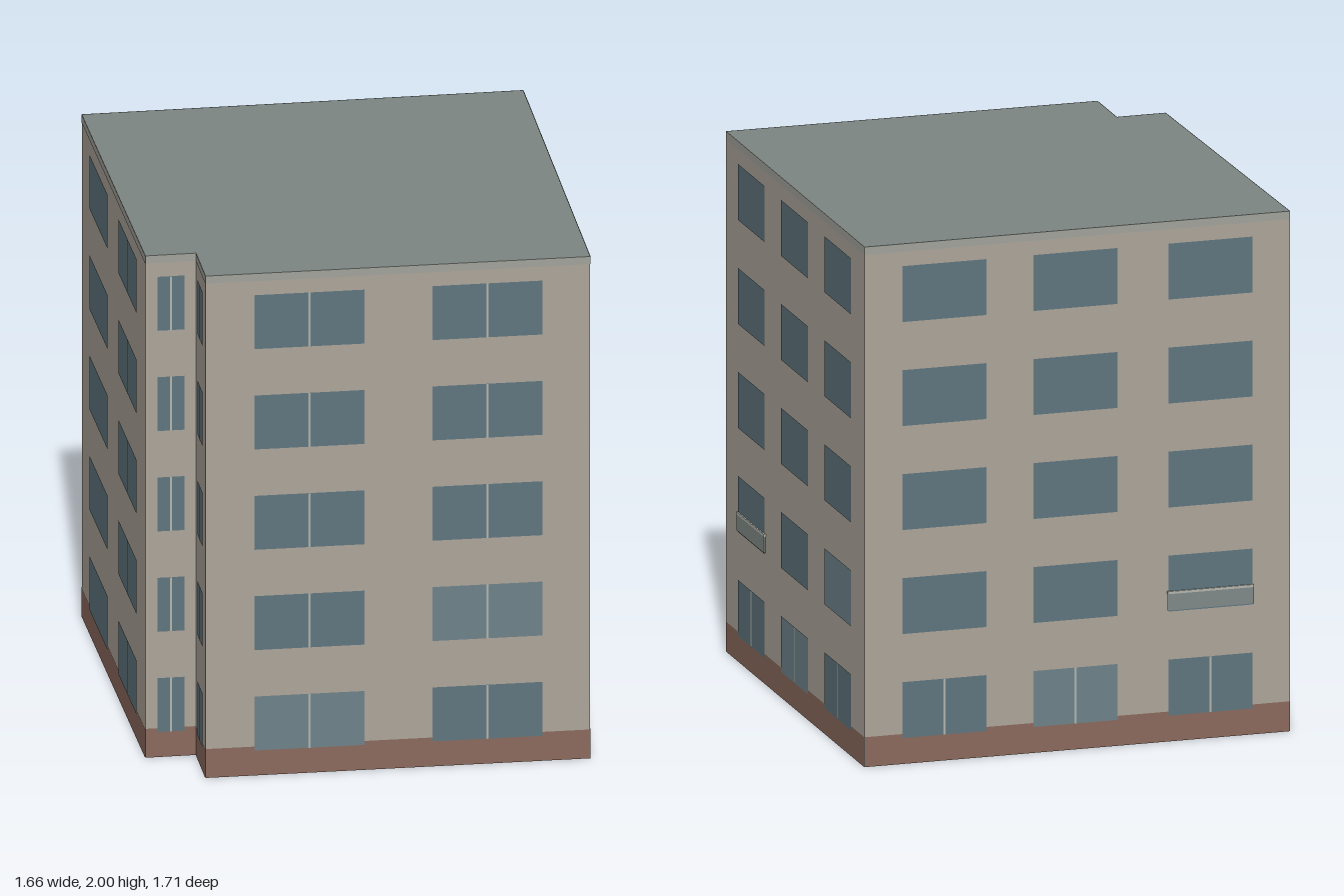
import * as THREE from 'three';

const material = (color) => new THREE.MeshStandardMaterial({ color, side: THREE.DoubleSide });

export function createModel() {
  const building = new THREE.Group();
  building.name = 'apartmentBlock';

  const wallMat = material(0xada59b);
  const roofMat = material(0x7c8682);
  const corniceMat = material(0xa1a39b);
  const plinthMat = material(0x8b6a5d);
  const glassMats = [material(0x5f757e), material(0x6e828a)];
  const frameMat = material(0xb4b6ae);
  const railMat = material(0x7f8a87);

  // Footprint corners (x, z), walked so that the outside is always on the same hand
  const corners = [
    [-0.62, 0.835], [0.82, 0.852], [0.825, -0.845],
    [-0.83, -0.848], [-0.81, 0.60], [-0.62, 0.60],
  ];

  // One entry per wall: window centres along the wall, window width,
  // whether every floor has a mullion, lighter panes as [floor, column], balcony column
  const facades = [
    { name: 'frontWall', at: [0.388, 1.055], width: 0.412, split: true, light: [[0, 0], [1, 1]] },
    { name: 'rightWall', at: [0.318, 0.848, 1.377], width: 0.328, light: [[0, 1], [1, 2]], balcony: 0 },
    { name: 'backWall', at: [0.31, 0.82, 1.345], width: 0.328, light: [[0, 1]], balcony: 2 },
    { name: 'leftWall', at: [0.395, 1.062], width: 0.412, split: true, light: [] },
    { name: 'notchFrontWall', at: [0.095], width: 0.102, split: true, light: [] },
    { name: 'notchSideWall', at: [0.118], width: 0.126, split: true, light: [] },
  ];

  // Flat panel in a wall's own frame: x along the wall, z outwards
  function panel(parent, name, mat, x, width, y0, y1, out) {
    const mesh = new THREE.Mesh(new THREE.PlaneGeometry(width, y1 - y0), mat);
    mesh.position.set(x, (y0 + y1) / 2, out);
    mesh.name = name;
    parent.add(mesh);
  }

  facades.forEach((f, i) => {
    const [ax, az] = corners[i];
    const [bx, bz] = corners[(i + 1) % corners.length];
    const length = Math.hypot(bx - ax, bz - az);
    const wall = new THREE.Group();
    wall.name = f.name;
    wall.position.set(ax, 0, az);
    wall.rotation.y = Math.atan2(az - bz, bx - ax);
    building.add(wall);

    panel(wall, 'wallPanel', wallMat, length / 2, length, 0, 2, 0);
    panel(wall, 'plinth', plinthMat, length / 2, length, 0, 0.115, 0.0015);
    panel(wall, 'cornice', corniceMat, length / 2, length, 1.97, 2, 0.0015);

    // Five floors of windows
    for (let floor = 0; floor < 5; floor++) {
      const y0 = 0.1 + floor * 0.4;
      const y1 = y0 + 0.215;
      f.at.forEach((x, column) => {
        const isLight = f.light.some(([a, b]) => a === floor && b === column);
        panel(wall, 'window', glassMats[isLight ? 1 : 0], x, f.width, y0, y1, 0.003);
        if (f.split || floor === 0) panel(wall, 'mullion', frameMat, x, 0.008, y0, y1, 0.0045);
      });
    }

    // Shallow balcony front on the second level
    if (f.balcony !== undefined) {
      const balcony = new THREE.Group();
      balcony.name = 'balcony';
      balcony.position.set(f.at[f.balcony], 0, 0.004);
      const rails = [
        ['balconyPanel', railMat, 0.505, 0.568, 0.006],
        ['balconyHandrail', frameMat, 0.568, 0.578, 0.008],
      ];
      for (const [name, mat, y0, y1, depth] of rails) {
        const mesh = new THREE.Mesh(new THREE.BoxGeometry(0.335, y1 - y0, depth), mat);
        mesh.position.y = (y0 + y1) / 2;
        mesh.name = name;
        balcony.add(mesh);
      }
      wall.add(balcony);
    }
  });

  // Flat roof; the underside of the building stays open
  const outline = new THREE.Shape(corners.map(([x, z]) => new THREE.Vector2(x, -z)));
  const roof = new THREE.Mesh(new THREE.ShapeGeometry(outline), roofMat);
  roof.rotation.x = -Math.PI / 2;
  roof.position.y = 2;
  roof.name = 'roof';
  building.add(roof);

  return building;
}
